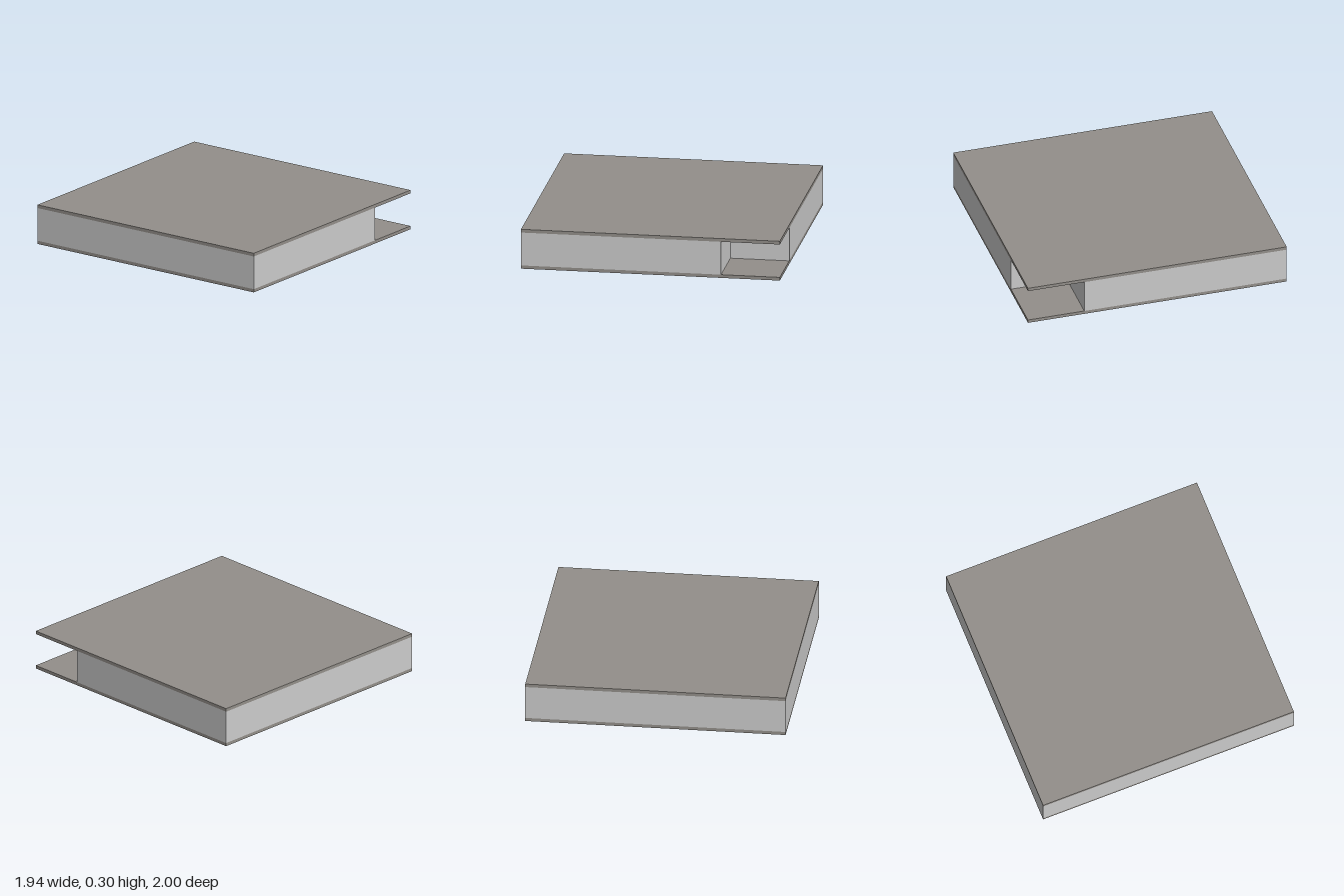
import * as THREE from 'three';

const HALF_X = 0.972, HALF_Z = 1;
const HEIGHT = 0.304, SLAB = 0.025;
const NOTCH_X = 0.53, NOTCH_Z = 0.565;

export function createModel() {
  const model = new THREE.Group();
  const grey = new THREE.MeshStandardMaterial({ color: 0xcccccc });
  const stone = new THREE.MeshStandardMaterial({ color: 0x938f8a });

  // Floor and roof slabs
  const slabGeometry = new THREE.BoxGeometry(2 * HALF_X, SLAB, 2 * HALF_Z);
  for (const [name, y] of [['floorSlab', SLAB / 2], ['roofSlab', HEIGHT - SLAB / 2]]) {
    const slab = new THREE.Mesh(slabGeometry, stone);
    slab.name = name;
    slab.position.y = y;
    model.add(slab);
  }

  // Walled core with a recessed front corner; plan drawn as (x, -z)
  const plan = new THREE.Shape([
    [-HALF_X, -HALF_Z], [NOTCH_X, -HALF_Z], [NOTCH_X, -NOTCH_Z],
    [HALF_X, -NOTCH_Z], [HALF_X, HALF_Z], [-HALF_X, HALF_Z],
  ].map(([x, y]) => new THREE.Vector2(x, y)));
  const coreGeometry = new THREE.ExtrudeGeometry(plan, {
    depth: HEIGHT - 2 * SLAB, bevelEnabled: false,
  });
  coreGeometry.rotateX(-Math.PI / 2);
  const core = new THREE.Mesh(coreGeometry, grey);
  core.name = 'walls';
  core.position.y = SLAB;
  model.add(core);

  return model;
}
